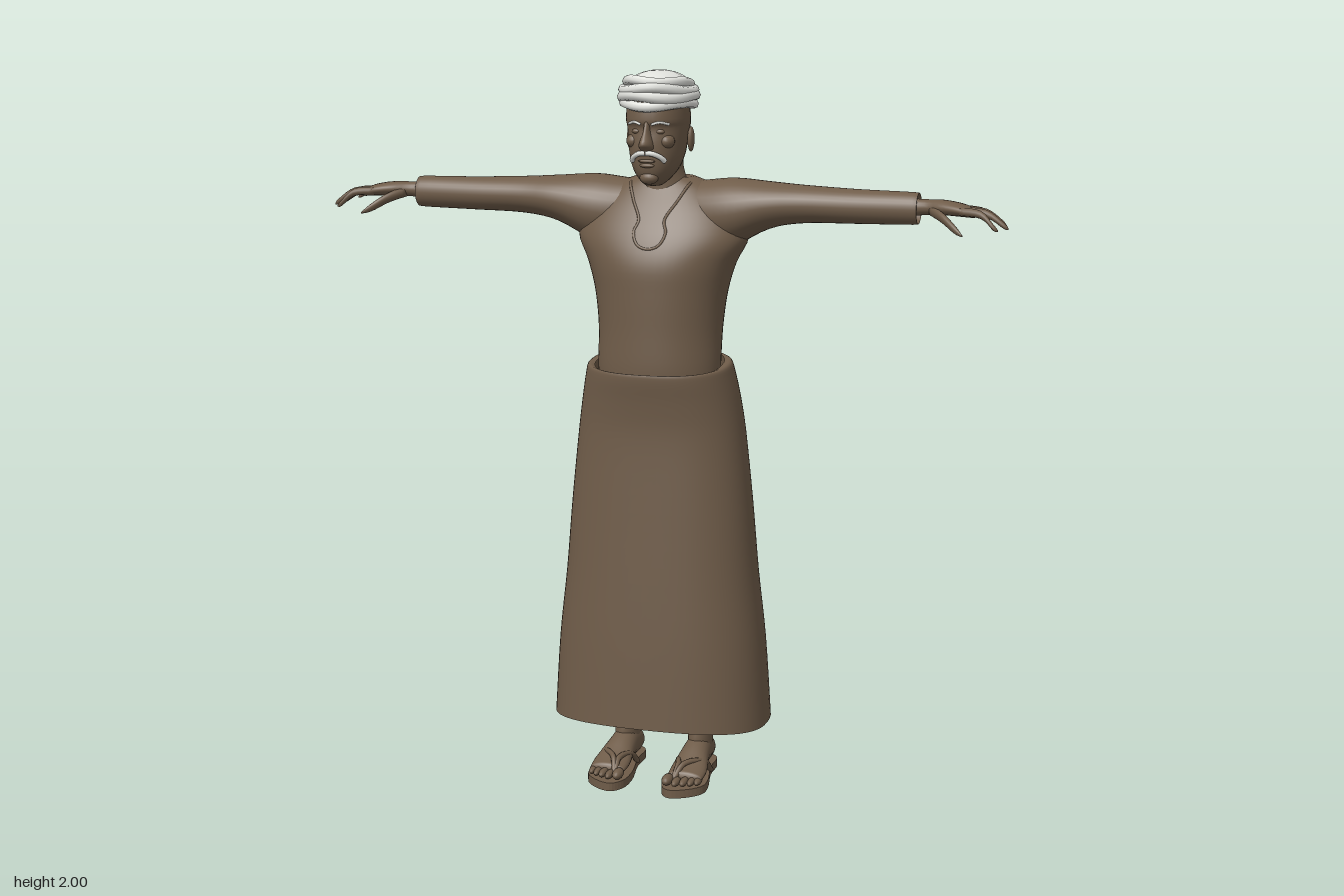
import * as THREE from 'three';

const brown = new THREE.MeshStandardMaterial({ color: 0x6f5c49, side: THREE.DoubleSide });
brown.name = 'brown';
const white = new THREE.MeshStandardMaterial({ color: 0xe2e3de });
white.name = 'white';

// Catmull-Rom interpolation between numeric rows, t from 0 to 1
function sampleRows(rows, t) {
  const f = t * (rows.length - 1);
  const i = Math.min(Math.floor(f), rows.length - 2);
  const k = f - i;
  const at = (j) => rows[Math.max(0, Math.min(rows.length - 1, j))];
  return rows[i].map((_, n) => {
    const [a, b, c, d] = [at(i - 1)[n], at(i)[n], at(i + 1)[n], at(i + 2)[n]];
    return b + 0.5 * k * (c - a + k * (2 * a - 5 * b + 4 * c - d + k * (3 * (b - c) + d - a)));
  });
}

// Smooth skin over closed cross-sections; place() turns a row and a unit point into a position
function loft(rows, place, { sides = 32, steps = 4, power = 2, caps = true } = {}) {
  const pos = [], index = [];
  const count = (rows.length - 1) * steps;
  const bend = (v) => Math.sign(v) * Math.abs(v) ** (2 / power);
  for (let i = 0; i <= count; i++) {
    const row = sampleRows(rows, i / count);
    for (let j = 0; j < sides; j++) {
      const a = (j / sides) * Math.PI * 2;
      pos.push(...place(row, bend(Math.cos(a)), bend(Math.sin(a)), i / count));
    }
  }
  for (let i = 0; i < count; i++) for (let j = 0; j < sides; j++) {
    const a = i * sides + j, b = i * sides + (j + 1) % sides;
    index.push(a, a + sides, b, b, a + sides, b + sides);
  }
  if (caps) for (const end of [0, count]) {
    const mid = [0, 1, 2].map((k) => {
      let sum = 0;
      for (let j = 0; j < sides; j++) sum += pos[(end * sides + j) * 3 + k];
      return sum / sides;
    });
    const c = pos.length / 3;
    pos.push(...mid);
    for (let j = 0; j < sides; j++) {
      const a = end * sides + j, b = end * sides + (j + 1) % sides;
      if (end) index.push(c, b, a); else index.push(c, a, b);
    }
  }
  const geo = new THREE.BufferGeometry();
  geo.setAttribute('position', new THREE.Float32BufferAttribute(pos, 3));
  geo.setIndex(index);
  geo.computeVertexNormals();
  return geo;
}

// Row layouts for the three directions
const alongY = ([y, hw, zf, zb, cx = 0], c, s) => [cx + hw * c, y, (zf + zb) / 2 + (zf - zb) / 2 * s];
const alongX = ([x, y, z, ry, rz], c, s) => [x, y + ry * c, z - rz * s];
const alongZ = ([z, x, y, rx, ry], c, s) => [x + rx * c, y - ry * s, z];

function mirrored(geo) {
  const g = geo.clone().scale(-1, 1, 1);
  const ix = g.index.array;
  for (let i = 0; i < ix.length; i += 3) [ix[i], ix[i + 1]] = [ix[i + 1], ix[i]];
  return g;
}
const blob = (x, y, z, rx, ry, rz) => new THREE.SphereGeometry(1, 18, 12).scale(rx, ry, rz).translate(x, y, z);
const tube = (pts, r, closed = false, seg = 40) => new THREE.TubeGeometry(
  new THREE.CatmullRomCurve3(pts.map((p) => new THREE.Vector3(...p)), closed), seg, r, 8, closed);

const TORSO = [
  [1.14, 0.17, 0.165, -0.10], [1.2, 0.172, 0.17, -0.105], [1.3, 0.173, 0.167, -0.128],
  [1.4, 0.185, 0.165, -0.14], [1.48, 0.208, 0.16, -0.146], [1.55, 0.24, 0.135, -0.146],
  [1.62, 0.22, 0.095, -0.138], [1.68, 0.15, 0.055, -0.115], [1.71, 0.08, 0.035, -0.085]];

// Point on the front or back of the shirt
function onShirt(x, y, side) {
  let i = 0;
  while (i < TORSO.length - 2 && TORSO[i + 1][0] < y) i++;
  const k = (y - TORSO[i][0]) / (TORSO[i + 1][0] - TORSO[i][0]);
  const [, hw, zf, zb] = TORSO[i].map((v, n) => v + (TORSO[i + 1][n] - v) * k);
  const h = Math.sqrt(Math.max(0, 1 - (x / hw) ** 2));
  return [x, y, (zf + zb) / 2 + side * (zf - zb) / 2 * h];
}

export function createModel() {
  const model = new THREE.Group();
  const add = (name, geo, mat = brown) => {
    const mesh = new THREE.Mesh(geo, mat);
    mesh.name = name;
    model.add(mesh);
  };
  const pair = (name, geo, mat) => {
    add('left' + name, geo, mat);
    add('right' + name, mirrored(geo), mat);
  };

  // Long skirt with a hem raised at front and back, and a waist raised behind
  add('skirt', loft([
    [0.17, 0.31, 0.22, -0.225], [0.4, 0.295, 0.208, -0.208], [0.6, 0.273, 0.195, -0.192],
    [0.8, 0.256, 0.182, -0.176], [1.0, 0.235, 0.172, -0.162], [1.1, 0.22, 0.178, -0.156],
    [1.17, 0.206, 0.188, -0.147], [1.2, 0.197, 0.188, -0.135], [1.2, 0.178, 0.176, -0.115],
  ], (row, c, s, t) => {
    const p = alongY(row, c, s);
    p[1] += 0.02 * s * s * (1 - t) ** 6 - 0.018 * s * t ** 4;
    return p;
  }, { sides: 64, power: 2.4, caps: false }));

  // Shirt body and sleeves
  add('shirtBody', loft(TORSO, alongY, { sides: 56, power: 2.1 }));
  pair('Sleeve', loft([
    [0.06, 1.625, -0.03, 0.07, 0.075], [0.12, 1.61, -0.025, 0.092, 0.092], [0.2, 1.618, -0.02, 0.092, 0.098],
    [0.3, 1.64, -0.01, 0.064, 0.083], [0.4, 1.647, -0.003, 0.051, 0.064], [0.55, 1.647, 0.009, 0.046, 0.05],
    [0.7, 1.648, 0.017, 0.043, 0.041], [0.705, 1.648, 0.017, 0.038, 0.036], [0.685, 1.648, 0.017, 0.035, 0.033],
  ], alongX, { sides: 32, caps: false }));

  // Keyhole neckline
  const half = [[0.085, 1.695], [0.062, 1.65], [0.036, 1.6], [0.045, 1.57], [0.03, 1.537]];
  add('neckline', tube([
    ...half.map(([x, y]) => onShirt(x, y, 1)), onShirt(0, 1.527, 1),
    ...[...half].reverse().map(([x, y]) => onShirt(-x, y, 1)),
    onShirt(-0.075, 1.665, -1), onShirt(0, 1.635, -1), onShirt(0.075, 1.665, -1),
  ], 0.004, true, 120));

  // Hands: palm, four fingers and thumb
  pair('Palm', loft([
    [0.66, 1.65, 0.018, 0.026, 0.024], [0.73, 1.653, 0.02, 0.021, 0.024], [0.78, 1.655, 0.03, 0.02, 0.036],
    [0.83, 1.651, 0.038, 0.017, 0.044], [0.865, 1.644, 0.04, 0.012, 0.041],
  ], alongX, { sides: 20 }));
  for (const [name, z, tipX, tipZ, tipY] of [['Little', 0.008, 0.915, -0.004, 1.622],
    ['Ring', 0.029, 0.947, 0.027, 1.612], ['Middle', 0.05, 0.957, 0.06, 1.608], ['Index', 0.07, 0.935, 0.092, 1.606]]) {
    const m = (0.84 + tipX) / 2;
    pair(name + 'Finger', loft([
      [0.83, 1.65, z, 0.011, 0.011], [m, 1.645, (z + tipZ) / 2, 0.0105, 0.0105],
      [tipX - 0.012, tipY + 0.008, tipZ, 0.008, 0.008], [tipX, tipY, tipZ, 0.002, 0.002],
    ], alongX, { sides: 10 }));
  }
  pair('Thumb', loft([
    [0.745, 1.648, 0.035, 0.014, 0.014], [0.785, 1.633, 0.073, 0.014, 0.015],
    [0.825, 1.607, 0.106, 0.011, 0.011], [0.848, 1.593, 0.125, 0.002, 0.002],
  ], alongX, { sides: 12 }));

  // Neck and head
  add('neck', loft([
    [1.62, 0.085, 0.06, -0.09], [1.69, 0.07, 0.055, -0.066], [1.74, 0.058, 0.06, -0.05], [1.8, 0.06, 0.07, -0.05],
  ], alongY));
  add('head', loft([
    [1.695, 0.022, 0.112, 0.05], [1.708, 0.037, 0.128, 0.02], [1.735, 0.057, 0.142, -0.02], [1.77, 0.07, 0.147, -0.048],
    [1.81, 0.076, 0.148, -0.064], [1.85, 0.081, 0.144, -0.072], [1.875, 0.083, 0.152, -0.072], [1.95, 0.078, 0.14, -0.06],
  ], alongY, { power: 2.2 }));
  add('nose', loft([
    [1.788, 0.006, 0.155, 0.13], [1.798, 0.019, 0.172, 0.12], [1.812, 0.018, 0.182, 0.12],
    [1.84, 0.01, 0.165, 0.12], [1.868, 0.008, 0.152, 0.12],
  ], alongY, { sides: 16 }));
  add('upperLip', blob(0, 1.764, 0.146, 0.024, 0.005, 0.008));
  add('lowerLip', blob(0, 1.752, 0.144, 0.021, 0.006, 0.008));
  add('chin', blob(0, 1.718, 0.125, 0.026, 0.018, 0.02));
  pair('Ear', blob(0.084, 1.815, 0.025, 0.009, 0.034, 0.02).rotateY(0.06));
  pair('Eye', blob(0.032, 1.842, 0.133, 0.014, 0.007, 0.008));
  pair('Cheek', blob(0.045, 1.815, 0.112, 0.022, 0.02, 0.025));
  pair('Brow', tube([[0.014, 1.861, 0.152], [0.035, 1.867, 0.145], [0.056, 1.861, 0.124]], 0.0035), white);
  pair('Moustache', tube([[0, 1.786, 0.157], [0.02, 1.784, 0.155], [0.038, 1.774, 0.142], [0.046, 1.763, 0.13]], 0.007), white);

  // Turban: dome with wound, slightly wavy bands
  add('turbanDome', blob(0, 1.948, 0.037, 0.09, 0.052, 0.122), white);
  [[1.911, 0.092, 0.121, 0.013, 0], [1.93, 0.095, 0.126, 0.015, 2], [1.947, 0.092, 0.126, 0.014, 4],
    [1.964, 0.082, 0.116, 0.013, 1]].forEach(([y, rx, rz, r, phase], n) => {
    const pts = [];
    for (let i = 0; i < 24; i++) {
      const a = (i / 24) * Math.PI * 2;
      pts.push([rx * Math.cos(a), y + 0.004 * Math.sin(3 * a + phase) + 0.004 * n * Math.sin(a), 0.037 + rz * Math.sin(a)]);
    }
    add('turbanBand' + (n + 1), tube(pts, r, true, 72), white);
  });

  // Legs, feet and toes
  pair('Leg', loft([
    [0.05, 0.034, 0.045, -0.068, 0.11], [0.11, 0.034, 0.045, -0.065, 0.11], [0.17, 0.034, 0.04, -0.06, 0.11],
    [0.35, 0.052, 0.05, -0.07, 0.11], [0.55, 0.056, 0.055, -0.06, 0.11], [0.95, 0.078, 0.08, -0.08, 0.1],
  ], alongY, { sides: 24 }));
  pair('Foot', loft([
    [-0.078, 0.108, 0.052, 0.016, 0.02], [-0.055, 0.108, 0.06, 0.034, 0.038], [0, 0.109, 0.068, 0.037, 0.05],
    [0.06, 0.111, 0.062, 0.043, 0.04], [0.12, 0.114, 0.048, 0.052, 0.025], [0.17, 0.114, 0.042, 0.05, 0.015],
  ], alongZ, { sides: 24 }));
  [[0.073, 0.192, 0.015], [0.098, 0.192, 0.011], [0.119, 0.185, 0.011], [0.138, 0.176, 0.01], [0.155, 0.165, 0.01]]
    .forEach(([x, z, r], i) => pair('Toe' + (i + 1), blob(x, 0.027 + r, z, r, r, 0.028)));

  // Sandals: sole and thong straps
  const outline = [[0.108, -0.085], [0.072, -0.06], [0.07, 0.02], [0.052, 0.13], [0.058, 0.2], [0.085, 0.23],
    [0.13, 0.215], [0.168, 0.175], [0.172, 0.13], [0.15, 0.02], [0.145, -0.06]].map((p) => new THREE.Vector2(...p));
  const curve = new THREE.CatmullRomCurve3(outline.map((p) => new THREE.Vector3(p.x, p.y, 0)), true);
  const sole = new THREE.ExtrudeGeometry(new THREE.Shape(curve.getPoints(48).map((p) => new THREE.Vector2(p.x, p.y))),
    { depth: 0.024, bevelEnabled: false });
  sole.rotateX(Math.PI / 2).translate(0, 0.026, 0);
  sole.setIndex([...Array(sole.attributes.position.count).keys()]);
  pair('SandalSole', sole);
  pair('InnerStrap', tube([[0.086, 0.035, 0.185], [0.088, 0.068, 0.14], [0.072, 0.062, 0.08], [0.066, 0.024, 0.035]], 0.008));
  pair('OuterStrap', tube([[0.086, 0.035, 0.185], [0.105, 0.072, 0.14], [0.148, 0.066, 0.085], [0.156, 0.024, 0.04]], 0.008));

  return model;
}
